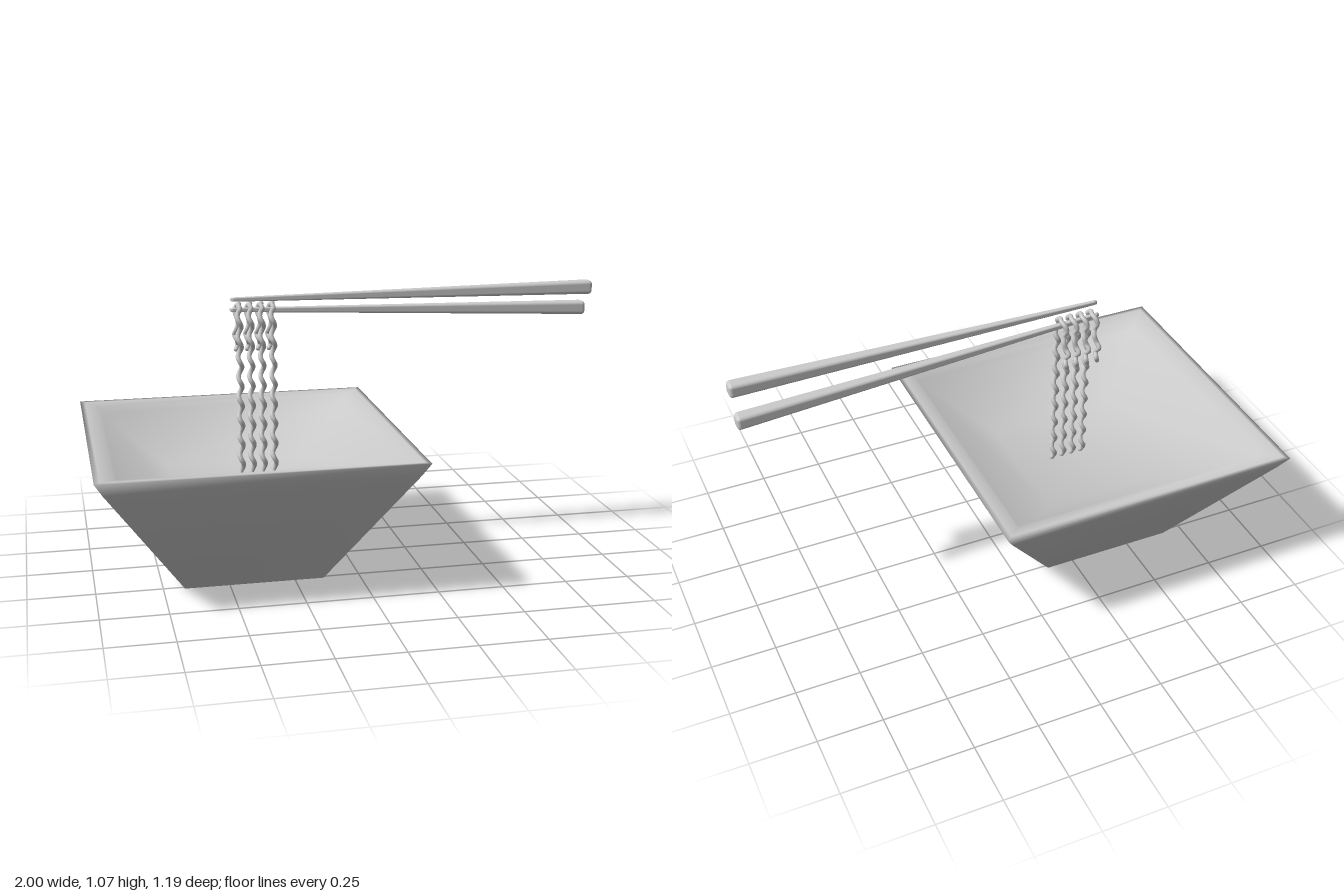
import * as THREE from 'three';
import { RoundedBoxGeometry } from 'three/addons/geometries/RoundedBoxGeometry.js';

const material = new THREE.MeshStandardMaterial({ color: 0xcccccc });

function addMesh(parent, geometry, name) {
  const mesh = new THREE.Mesh(geometry, material);
  mesh.name = name;
  parent.add(mesh);
  return mesh;
}

// Square bowl: rings of four shared corners, from base up over the rim and down to the shallow floor
function bowlGeometry() {
  const rings = [[0.265, 0], [0.565, 0.477], [0.595, 0.53], [0.575, 0.53], [0.525, 0.52], [0.51, 0.49], [0.27, 0.325]];
  const positions = [], index = [];
  for (const [half, y] of rings) {
    positions.push(-half, y, half, half, y, half, half, y, -half, -half, y, -half);
  }
  for (let r = 0; r < rings.length - 1; r++) {
    for (let c = 0; c < 4; c++) {
      const a = r * 4 + c, b = r * 4 + (c + 1) % 4;
      index.push(a, b, b + 4, a, b + 4, a + 4);
    }
  }
  const f = (rings.length - 1) * 4;
  index.push(0, 2, 1, 0, 3, 2); // underside
  index.push(f, f + 1, f + 2, f, f + 2, f + 3); // inner floor
  const geometry = new THREE.BufferGeometry();
  geometry.setAttribute('position', new THREE.Float32BufferAttribute(positions, 3));
  geometry.setIndex(index);
  geometry.computeVertexNormals();
  return geometry;
}

// Chopstick: rounded square bar tapering from a thick end to a thin tip
function chopstickGeometry(tip, end) {
  const length = end.x - tip.x;
  const geometry = new RoundedBoxGeometry(length, 0.054, 0.054, 3, 0.014);
  const p = geometry.attributes.position;
  for (let i = 0; i < p.count; i++) {
    const t = p.getX(i) / length + 0.5;
    const scale = THREE.MathUtils.lerp(0.28, 1, t);
    p.setXYZ(i,
      THREE.MathUtils.lerp(tip.x, end.x, t),
      THREE.MathUtils.lerp(tip.y, end.y, t) + p.getY(i) * scale,
      THREE.MathUtils.lerp(tip.z, end.z, t) + p.getZ(i) * scale);
  }
  return geometry;
}

// Noodle: wavy strand hanging in front, bent over the lower chopstick with a short tail behind
function noodleGeometry() {
  const points = [];
  for (let i = 0; i <= 56; i++) {
    const y = 0.33 + i * 0.012;
    const a = (y / 0.078) * Math.PI * 2;
    points.push(new THREE.Vector3(0.007 * Math.cos(a), y, 0.002 + 0.008 * Math.sin(a)));
  }
  const tail = [[1.016, -0.02], [1.016, -0.045], [1.006, -0.062], [0.985, -0.067], [0.96, -0.06],
    [0.935, -0.07], [0.91, -0.076], [0.89, -0.09], [0.87, -0.078], [0.85, -0.092], [0.832, -0.086]];
  tail.forEach(([y, z], i) => points.push(new THREE.Vector3(0.006 * Math.sin(i * 1.6), y, z)));
  return new THREE.TubeGeometry(new THREE.CatmullRomCurve3(points), 200, 0.0095, 8, false);
}

export function createModel() {
  const model = new THREE.Group();
  model.name = 'noodleBowl';

  addMesh(model, bowlGeometry(), 'bowl').position.x = -0.405;

  const V = (x, y, z) => new THREE.Vector3(x, y, z);
  addMesh(model, chopstickGeometry(V(-0.44, 1.041, -0.006), V(1, 1.041, 0.002)), 'upperChopstick');
  addMesh(model, chopstickGeometry(V(-0.44, 0.998, -0.027), V(1, 0.947, -0.065)), 'lowerChopstick');

  // Four strands, with small balls closing both ends
  const strand = noodleGeometry();
  const cap = new THREE.SphereGeometry(0.0095, 8, 6);
  const path = strand.parameters.path;
  for (let i = 0; i < 4; i++) {
    const noodle = new THREE.Group();
    noodle.name = 'noodle' + (i + 1);
    noodle.position.x = -0.409 + i * 0.043;
    addMesh(noodle, strand, 'strand');
    for (const t of [0, 1]) addMesh(noodle, cap, 'strandEnd').position.copy(path.getPoint(t));
    model.add(noodle);
  }
  return model;
}
